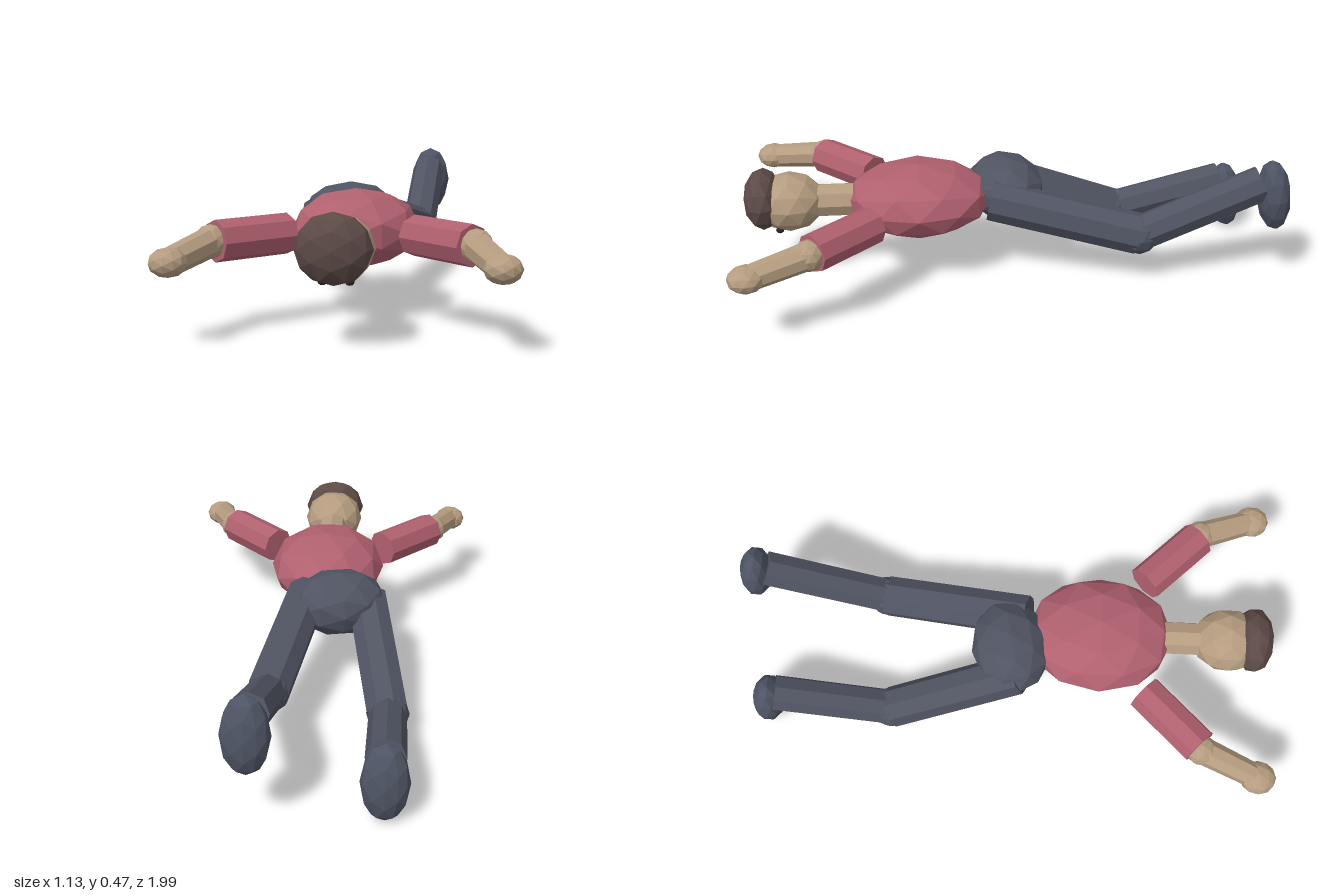
import * as THREE from 'three';

const material = (name, color) => {
  const m = new THREE.MeshStandardMaterial({ color, flatShading: true });
  m.name = name;
  return m;
};

export function createModel() {
  const group = new THREE.Group();
  const shirt = material('shirt red', 0xb0606f);
  const skin = material('skin', 0xb59c80);
  const trousers = material('trouser slate', 0x505462);
  const shoes = material('shoe slate', 0x4e5464);
  const hair = material('hair brown', 0x5c4a46);
  const dark = material('eye dark', 0x2a2422);

  // faceted ellipsoid
  function blob(name, mat, center, radii, rotation = [0, 0, 0]) {
    const mesh = new THREE.Mesh(new THREE.IcosahedronGeometry(1, 1), mat);
    mesh.name = name;
    mesh.position.set(...center);
    mesh.scale.set(...radii);
    mesh.rotation.set(...rotation);
    group.add(mesh);
    return mesh;
  }

  // eight-sided limb between two points
  function limb(name, mat, from, to, r0, r1 = r0) {
    const a = new THREE.Vector3(...from);
    const b = new THREE.Vector3(...to);
    const dir = b.clone().sub(a);
    const mesh = new THREE.Mesh(new THREE.CylinderGeometry(r1, r0, dir.length(), 8), mat);
    mesh.name = name;
    mesh.position.copy(a).add(b).multiplyScalar(0.5);
    mesh.quaternion.setFromUnitVectors(new THREE.Vector3(0, 1, 0), dir.normalize());
    group.add(mesh);
    return mesh;
  }

  // body, lying face down with the head towards +z
  blob('torso', shirt, [0, 0.297, 0.35], [0.22, 0.134, 0.272]);
  blob('pelvis', trousers, [-0.06, 0.3, 0.025], [0.18, 0.12, 0.145], [0, 0.2, 0]);
  limb('neck', skin, [0, 0.297, 0.56], [0, 0.297, 0.74], 0.062);

  // head
  blob('head', skin, [0, 0.298, 0.82], [0.118, 0.108, 0.13]);
  blob('hair', hair, [0, 0.311, 0.915], [0.122, 0.112, 0.072]);

  for (const s of [1, -1]) {
    const side = s > 0 ? 'left' : 'right';
    blob(side + 'Eye', dark, [s * 0.042, 0.202, 0.86], [0.015, 0.012, 0.015]);

    // arms spread forward
    const elbow = [s * 0.42, 0.296, 0.722];
    const wrist = [s * 0.5, 0.262, 0.92];
    limb(side + 'UpperArm', shirt, [s * 0.213, 0.296, 0.515], [s * 0.408, 0.296, 0.715], 0.069);
    blob(side + 'Elbow', skin, elbow, [0.056, 0.056, 0.056]);
    limb(side + 'Forearm', skin, elbow, wrist, 0.05, 0.045);
    blob(side + 'Hand', skin, [s * 0.503, 0.262, 0.926], [0.061, 0.047, 0.065]);
  }

  // legs, bent differently at the knees
  const legs = [
    { side: 'left', hip: [0.06, 0.302, 0.085], knee: [0.16, 0.19, -0.45],
      ankle: [0.172, 0.383, -0.89], foot: [0.178, 0.336, -0.935] },
    { side: 'right', hip: [-0.165, 0.3, 0.055], knee: [-0.253, 0.095, -0.415],
      ankle: [-0.25, 0.205, -0.845], foot: [-0.25, 0.136, -0.875] },
  ];
  for (const { side, hip, knee, ankle, foot } of legs) {
    limb(side + 'Thigh', trousers, hip, knee, 0.077);
    blob(side + 'Knee', trousers, knee, [0.076, 0.076, 0.076]);
    limb(side + 'Shin', trousers, knee, ankle, 0.067);
    blob(side + 'Foot', shoes, foot, [0.081, 0.138, 0.061], [0.1, 0, 0]);
  }

  return group;
}
